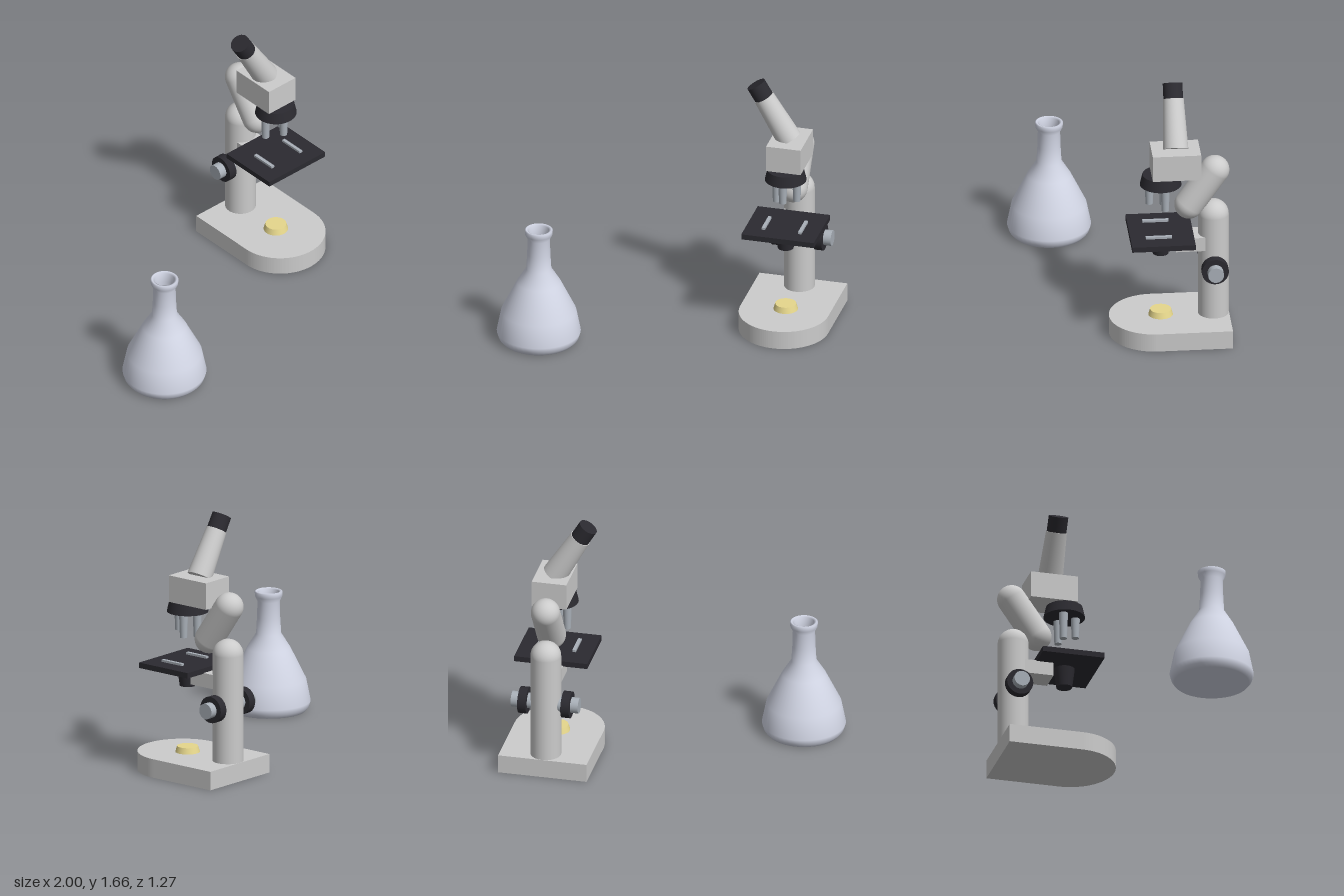
import * as THREE from 'three';

const mat = (color, side = THREE.FrontSide) => new THREE.MeshStandardMaterial({ color, side });
const v2 = (x, y) => new THREE.Vector2(x, y);

export function createModel() {
  const model = new THREE.Group();
  const enamel = mat(0xd6d4d8);
  const dark = mat(0x2b2a30);
  const steel = mat(0xa9b0b8);

  const add = (parent, name, geometry, material, x = 0, y = 0, z = 0) => {
    const mesh = new THREE.Mesh(geometry, material);
    mesh.name = name;
    mesh.position.set(x, y, z);
    parent.add(mesh);
    return mesh;
  };
  const cyl = (top, bottom, h) => new THREE.CylinderGeometry(top, bottom, h, 32);

  // ---- Microscope, centred on its own x = 0 ----
  const scope = new THREE.Group();
  scope.name = 'microscope';
  scope.position.x = 0.715;
  model.add(scope);

  // Base: square at the back, half round at the front
  const outline = new THREE.Shape();
  outline.moveTo(-0.285, 0.63);
  outline.lineTo(-0.285, 0.16);
  outline.absarc(0, 0.16, 0.285, Math.PI, Math.PI * 2, false);
  outline.lineTo(0.285, 0.63);
  outline.closePath();
  const baseGeo = new THREE.ExtrudeGeometry(outline, { depth: 0.12, bevelEnabled: false, curveSegments: 32 });
  baseGeo.rotateX(-Math.PI / 2);
  add(scope, 'base', baseGeo, enamel);

  // Lamp on the base
  add(scope, 'lamp', cyl(0.066, 0.078, 0.04), mat(0xe6d78c), 0, 0.138, -0.2);

  // Upright column with a domed top
  add(scope, 'column', cyl(0.097, 0.097, 0.71), enamel, 0, 0.455, -0.532);
  add(scope, 'columnDome', new THREE.SphereGeometry(0.097, 32, 16, 0, Math.PI * 2, 0, Math.PI / 2), enamel, 0, 0.81, -0.532);

  // Slanted arm between column and head
  const low = new THREE.Vector3(0, 0.883, -0.378);
  const high = new THREE.Vector3(0, 1.118, -0.541);
  const arm = add(scope, 'arm', new THREE.CapsuleGeometry(0.092, low.distanceTo(high), 12, 32), enamel);
  arm.position.copy(low).lerp(high, 0.5);
  arm.quaternion.setFromUnitVectors(new THREE.Vector3(0, 1, 0), high.clone().sub(low).normalize());

  // Head, nosepiece and objectives
  add(scope, 'head', new THREE.BoxGeometry(0.224, 0.172, 0.305), enamel, 0, 1.19, -0.293);
  add(scope, 'nosepiece', cyl(0.115, 0.131, 0.07), dark, 0, 1.067, -0.2);
  for (const [x, z, bottom] of [[0, -0.128, 0.9], [-0.066, -0.223, 0.858], [0.066, -0.223, 0.878]]) {
    const h = 1.04 - bottom;
    add(scope, 'objective', cyl(0.029, 0.023, h), steel, x, bottom + h / 2, z);
  }

  // Eyepiece tube leaning to the model's right
  const eyepiece = new THREE.Group();
  eyepiece.name = 'eyepiece';
  eyepiece.position.set(-0.004, 1.272, -0.295);
  eyepiece.rotation.z = 0.545;
  scope.add(eyepiece);
  add(eyepiece, 'eyepieceTube', cyl(0.066, 0.08, 0.315), enamel, 0, 0.157, 0);
  add(eyepiece, 'eyepieceCap', cyl(0.062, 0.062, 0.1), dark, 0, 0.363, 0);

  // Stage with clips, condenser and bracket
  add(scope, 'stage', new THREE.BoxGeometry(0.47, 0.035, 0.4), dark, 0, 0.693, -0.2);
  for (const s of [-1, 1]) {
    add(scope, 'stageClip', new THREE.BoxGeometry(0.022, 0.015, 0.165), steel, s * 0.118, 0.717, -0.178);
  }
  add(scope, 'condenser', cyl(0.066, 0.05, 0.125), dark, 0, 0.613, -0.2);
  add(scope, 'stageBracket', new THREE.BoxGeometry(0.16, 0.092, 0.185), enamel, 0, 0.634, -0.383);

  // Focus knobs, mirrored on both sides of the column
  for (const s of [-1, 1]) {
    const coarse = add(scope, 'coarseKnob', cyl(0.085, 0.085, 0.054), dark, s * 0.139, 0.48, -0.53);
    const fine = add(scope, 'fineKnob', cyl(0.05, 0.05, 0.14), steel, s * 0.146, 0.48, -0.53);
    coarse.rotation.z = fine.rotation.z = Math.PI / 2;
  }

  // ---- Flask ----
  const flask = new THREE.Group();
  flask.name = 'flask';
  flask.position.set(-0.736, 0, 0.369);
  model.add(flask);

  // Outer wall, rolled lip and inner wall in one profile
  const glass = [
    v2(0, 0), v2(0.235, 0), v2(0.254, 0.024), v2(0.264, 0.06), v2(0.236, 0.2), v2(0.138, 0.4),
    v2(0.079, 0.495), v2(0.073, 0.6), v2(0.07, 0.705), v2(0.086, 0.735), v2(0.088, 0.765),
    v2(0.079, 0.77), v2(0.064, 0.762), v2(0.06, 0.7), v2(0.064, 0.5), v2(0.125, 0.4), v2(0.195, 0.25),
  ];
  add(flask, 'flaskGlass', new THREE.LatheGeometry(glass, 48), mat(0xd3d7e6, THREE.DoubleSide));

  // Liquid inside
  const liquid = [v2(0, 0.03), v2(0.23, 0.03), v2(0.245, 0.07), v2(0.222, 0.2), v2(0.193, 0.26), v2(0, 0.26)];
  add(flask, 'liquid', new THREE.LatheGeometry(liquid, 48), mat(0x4cc878));

  return model;
}
